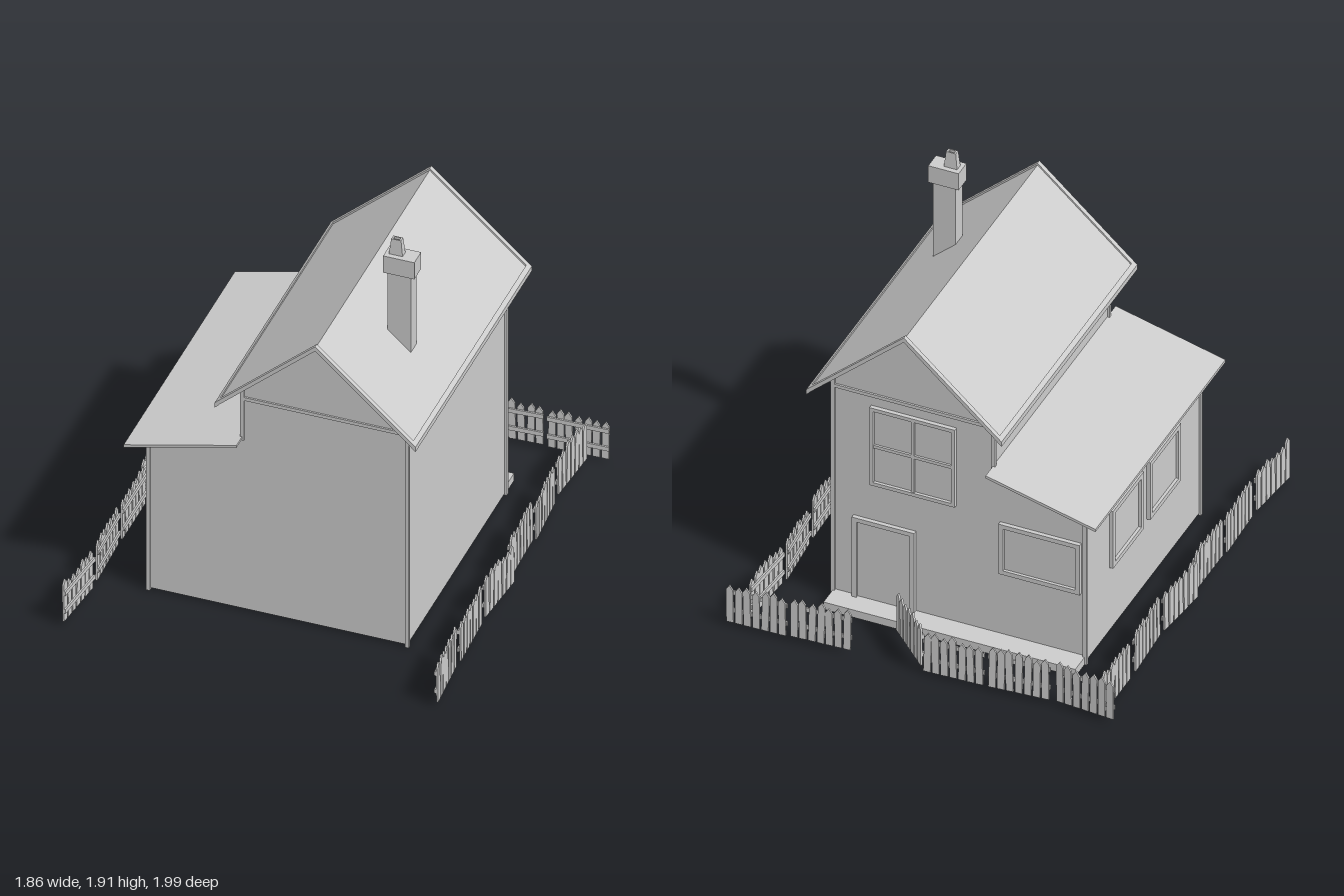
import * as THREE from 'three';

const mat = new THREE.MeshStandardMaterial({ color: 0xcccccc, flatShading: true, side: THREE.DoubleSide });

function add(parent, name, geo) {
  const m = new THREE.Mesh(geo, mat);
  m.name = name;
  parent.add(m);
  return m;
}

// Box given by its minimum and maximum corners
function box(parent, name, x0, x1, y0, y1, z0, z1) {
  const m = add(parent, name, new THREE.BoxGeometry(x1 - x0, y1 - y0, z1 - z0));
  m.position.set((x0 + x1) / 2, (y0 + y1) / 2, (z0 + z1) / 2);
  return m;
}

function extrude(points, depth) {
  const shape = new THREE.Shape(points.map(p => new THREE.Vector2(...p)));
  return new THREE.ExtrudeGeometry(shape, { depth, bevelEnabled: false });
}

// Sloping board whose top runs from a to b in the xy plane, spanning z0..z1
function slope(parent, name, a, b, z0, z1, t) {
  const geo = extrude([a, b, [b[0], b[1] - t], [a[0], a[1] - t]], z1 - z0);
  add(parent, name, geo).position.z = z0;
}

// Window or door in local xy, facing +z
function opening(name, w, h, { cross = false, door = false, t = 0.018 } = {}) {
  const g = new THREE.Group();
  g.name = name;
  const d = 0.018;
  box(g, 'pane', -w / 2 + t, w / 2 - t, -h / 2, h / 2 - t, -0.005, 0.004);
  for (const s of [-1, 1]) {
    const x = s * (w - t) / 2, y = s * (h - t) / 2;
    box(g, 'frameSide', x - t / 2, x + t / 2, -h / 2, h / 2, -0.005, d);
    if (!door || s > 0) box(g, 'frameRail', -w / 2 + t, w / 2 - t, y - t / 2, y + t / 2, -0.005, d);
  }
  if (cross) {
    box(g, 'mullion', -0.008, 0.008, -h / 2 + t, h / 2 - t, -0.005, 0.014);
    box(g, 'transom', -w / 2 + t, w / 2 - t, -0.008, 0.008, -0.005, 0.014);
  }
  return g;
}

let seed = 7;
function rnd() {
  seed = (seed * 16807) % 2147483647;
  return seed / 2147483647;
}

// Picket panel between two ground points, rails on the house side
function fencePanel(name, [x0, z0, x1, z1]) {
  const g = new THREE.Group();
  g.name = name;
  const len = Math.hypot(x1 - x0, z1 - z0);
  const angle = Math.atan2(z1 - z0, x1 - x0);
  const cx = (x0 + x1) / 2, cz = (z0 + z1) / 2;
  g.position.set(cx, 0.015 + 0.025 * rnd(), cz);
  g.rotation.y = -angle;
  // Local z axis in the world is (-sin, cos); choose the side nearer the middle
  const side = (-Math.sin(angle) * cx + Math.cos(angle) * cz) > 0 ? -1 : 1;
  const n = Math.max(5, Math.round(len / 0.043)), step = len / n, w = step * 0.4;
  for (let i = 0; i < n; i++) {
    const h = 0.195 + 0.028 * rnd();
    const p = add(g, 'picket', extrude([[-w, 0], [w, 0], [w, h - 0.025], [0, h], [-w, h - 0.025]], 0.009));
    p.position.set(-len / 2 + step * (i + 0.5), 0, -0.0045);
    p.rotation.z = (rnd() - 0.5) * 0.06;
  }
  for (const y of [0.06, 0.155]) {
    const r = box(g, 'rail', -len / 2, len / 2, y - 0.011, y + 0.011, -0.004, 0.004);
    r.position.z = side * 0.009;
  }
  return g;
}

export function createModel() {
  const root = new THREE.Group();
  root.name = 'house';

  // Walls: gabled main block with a lower lean-to
  add(root, 'mainWalls', extrude([[-0.19, 0.01], [0.58, 0.01], [0.58, 1.205], [0.19, 1.557], [-0.19, 1.212]], 1.21)).position.z = -0.61;
  add(root, 'leanToWalls', extrude([[-0.63, 0.01], [-0.19, 0.01], [-0.19, 0.925], [-0.63, 0.81]], 1.21)).position.z = -0.61;
  box(root, 'backStep', -0.63, 0.58, 0, 0.04, -0.72, -0.61);

  // Corner posts and gable bands
  for (const z of [-0.615, 0.6]) {
    box(root, 'cornerPost', 0.572, 0.59, 0, 1.215, z - 0.008, z + 0.01);
    box(root, 'cornerPost', -0.64, -0.622, 0, 0.81, z - 0.008, z + 0.01);
    box(root, 'upperCornerPost', -0.2, -0.182, 0.925, 1.22, z - 0.008, z + 0.01);
    box(root, 'gableBand', -0.19, 0.58, 1.14, 1.157, z - 0.004, z + 0.008);
  }
  for (const x of [-0.19, 0.58]) box(root, 'wallBand', x - 0.007, x + 0.007, 1.14, 1.157, -0.61, 0.6);

  // Main roof: thin panels with raised edge boards
  for (const s of [-1, 1]) {
    const at = (d, y) => [0.19 + s * d, y - d * 0.9];
    slope(root, 'roofPanel', at(0, 1.588), at(0.465, 1.588), -0.725, 0.705, 0.012);
    for (const z of [-0.73, 0.69]) slope(root, 'bargeBoard', at(0, 1.598), at(0.47, 1.598), z, z + 0.022, 0.024);
    slope(root, 'eaveBoard', at(0.452, 1.598), at(0.47, 1.598), -0.73, 0.712, 0.026);
  }

  // Lean-to roof
  slope(root, 'leanToRoof', [-0.19, 0.945], [-0.718, 0.813], -0.7, 0.68, 0.014);

  // Chimney with cap and hollow tapered pot
  const chimney = new THREE.Group();
  chimney.name = 'chimney';
  root.add(chimney);
  box(chimney, 'stack', 0.36, 0.47, 1.3, 1.74, 0.197, 0.267);
  box(chimney, 'cap', 0.342, 0.488, 1.74, 1.83, 0.188, 0.272);
  const r = Math.SQRT2;
  const profile = [[r, 0], [r * 0.72, 0.08], [r * 0.45, 0.08], [r * 0.45, 0.01]].map(p => new THREE.Vector2(...p));
  const pot = add(chimney, 'pot', new THREE.LatheGeometry(profile, 4, Math.PI / 4).scale(0.032, 1, 0.018));
  pot.position.set(0.392, 1.83, 0.23);

  // Back windows and door
  const back = [
    ['upperWindow', 0.195, 0.88, 0.41, 0.42, { cross: true }],
    ['backDoor', 0.335, 0.255, 0.3, 0.43, { door: true, t: 0.022 }],
    ['leanToWindow', -0.415, 0.51, 0.39, 0.27, { t: 0.022 }],
  ];
  for (const [name, x, y, w, h, o] of back) {
    const g = opening(name, w, h, o);
    g.position.set(x, y, -0.612);
    g.rotation.y = Math.PI;
    root.add(g);
  }
  // Lean-to side windows
  for (const z of [-0.195, 0.2]) {
    const g = opening('sideWindow', 0.325, 0.31, { t: 0.024 });
    g.position.set(-0.63, 0.505, z);
    g.rotation.y = -Math.PI / 2;
    root.add(g);
  }

  // Fence panels: x0, z0, x1, z1
  const panels = {
    rightFence: [
      [-0.86, -0.94, -0.86, -0.65], [-0.87, -0.62, -0.855, -0.32], [-0.855, -0.28, -0.885, 0.015],
      [-0.86, 0.04, -0.86, 0.335], [-0.866, 0.36, -0.856, 0.655], [-0.855, 0.7, -0.885, 0.99]],
    leftFence: [
      [0.832, -0.95, 0.81, -0.65], [0.81, -0.61, 0.832, -0.32], [0.825, -0.3, 0.833, 0],
      [0.86, 0.02, 0.835, 0.32], [0.832, 0.355, 0.845, 0.65], [0.84, 0.69, 0.86, 0.975]],
    backFence: [
      [-0.93, -0.97, -0.64, -0.945], [-0.61, -0.945, -0.32, -0.965], [-0.3, -0.96, -0.01, -0.97],
      [0.33, -0.975, 0.62, -0.988], [0.635, -0.988, 0.925, -0.994]],
    gate: [[-0.005, -0.97, 0.205, -0.77]],
  };
  for (const [name, list] of Object.entries(panels)) for (const p of list) root.add(fencePanel(name, p));

  return root;
}
